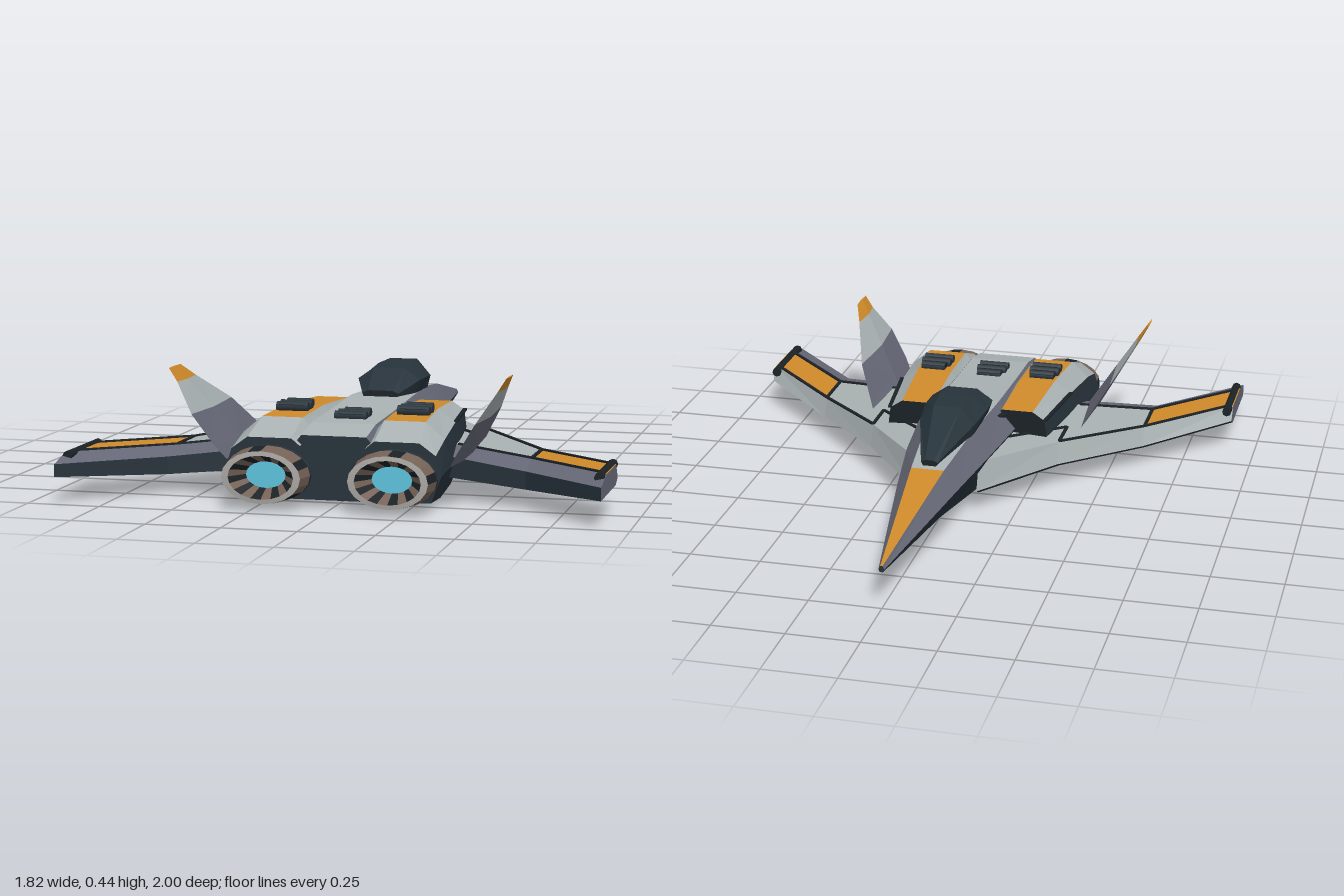
import * as THREE from 'three';

const mat = (name, color) => Object.assign(new THREE.MeshStandardMaterial({ color }), { name });
const M = [
  mat('light grey', 0xa9b1b2), mat('orange', 0xcf8a2a), mat('slate grey', 0x666877),
  mat('navy', 0x27333b), mat('black', 0x1b2226), mat('bronze', 0x776358),
  mat('cyan glow', 0x5fc4de), mat('rim', 0xaaa7a4),
];
const LIGHT = 0, ORANGE = 1, SLATE = 2, NAVY = 3, BLACK = 4, BRONZE = 5, CYAN = 6, RIM = 7;

// Faceted skin through rings of points; color(section, side) picks the material
function loft(name, rings, color, caps) {
  const tris = [];
  const n = rings[0].length;
  for (let j = 0; j < rings.length - 1; j++) {
    for (let i = 0; i < n; i++) {
      const k = (i + 1) % n, a = rings[j][i], b = rings[j][k], c = rings[j + 1][k], d = rings[j + 1][i];
      tris.push([color(j, i), a, b, c], [color(j, i), a, c, d]);
    }
  }
  [rings[0], rings[rings.length - 1]].forEach((r, e) => {
    const mid = [0, 1, 2].map(q => r.reduce((s, p) => s + p[q], 0) / n);
    r.forEach((p, i) => {
      const q = r[(i + 1) % n];
      tris.push(e ? [caps[1], mid, p, q] : [caps[0], mid, q, p]);
    });
  });
  // Turn all faces outward using the enclosed volume
  const v = p => new THREE.Vector3(...p);
  const volume = tris.reduce((s, t) => s + v(t[1]).dot(v(t[2]).cross(v(t[3]))), 0);
  tris.sort((a, b) => a[0] - b[0]);
  const g = new THREE.BufferGeometry(), pos = [];
  tris.forEach(([m, a, b, c], i) => {
    pos.push(...a, ...(volume < 0 ? [...c, ...b] : [...b, ...c]));
    g.addGroup(i * 3, 3, m);
  });
  g.setAttribute('position', new THREE.Float32BufferAttribute(pos, 3));
  g.computeVertexNormals();
  // Join neighbouring groups of the same material
  g.groups = g.groups.reduce((out, q) => {
    const last = out[out.length - 1];
    if (last && last.materialIndex === q.materialIndex) last.count += q.count;
    else out.push({ ...q });
    return out;
  }, []);
  const mesh = new THREE.Mesh(g, M);
  mesh.name = name;
  return mesh;
}

function box(name, m, size, at) {
  const b = new THREE.Mesh(new THREE.BoxGeometry(...size), M[m]);
  b.name = name;
  b.position.set(...at);
  return b;
}

// Thin plate laid between two points
function strip(a, b, width) {
  const p = new THREE.Vector3(...a), q = new THREE.Vector3(...b);
  const s = box('panelLine', BLACK, [width, 0.006, p.distanceTo(q)], p.clone().add(q).multiplyScalar(0.5).toArray());
  s.lookAt(q);
  return s;
}

// Louvred vent: a base with three rounded slats
function vent(x, y, z) {
  const g = new THREE.Group();
  g.name = 'vent';
  g.add(box('ventBase', BLACK, [0.09, 0.03, 0.12], [0, 0, 0]));
  for (let i = 0; i < 3; i++) {
    const s = new THREE.Mesh(new THREE.CylinderGeometry(0.018, 0.018, 0.11 - (i === 0 ? 0.02 : 0), 8), M[NAVY]);
    s.name = 'ventSlat';
    s.rotation.z = Math.PI / 2;
    s.position.set(0, 0.006, -0.045 + i * 0.045);
    g.add(s);
  }
  g.position.set(x, y, z);
  return g;
}

// Six-sided ring from top, middle and bottom half widths and heights
const hex = ([z, tw, yt, w, ym, bw, yb]) =>
  [[-tw, yt, z], [tw, yt, z], [w, ym, z], [bw, yb, z], [-bw, yb, z], [-w, ym, z]];

// Parts that exist on both sides; s is +1 or -1
function addSide(root, s) {
  const side = s > 0 ? 'left' : 'right';
  const flip = rings => rings.map(r => r.map(([x, y, z]) => [s * x, y, z]));

  // Wing: span x, leading z, trailing z, top y, bottom y
  const wing = [
    [0.12, -0.19, 0.60, 0.19, 0.07], [0.35, 0.10, 0.63, 0.175, 0.08],
    [0.615, 0.385, 0.71, 0.15, 0.065], [0.908, 0.655, 0.995, 0.158, 0.09],
  ].map(([x, zl, zt, yt, yb]) => [
    [x, yb + 0.02, zl], [x, yt, zl + 0.035], [x, yt, zt - 0.11], [x, yt - 0.025, zt], [x, yb, zt], [x, yb, zl + 0.04],
  ]);
  root.add(loft(side + 'Wing', flip(wing), (j, i) =>
    [LIGHT, j === 2 ? ORANGE : LIGHT, SLATE, NAVY, NAVY, NAVY][i], [NAVY, SLATE]));

  // Wing panel lines
  const lines = [
    [[0.17, 0.192, 0.1], [0.35, 0.178, 0.28]], [[0.35, 0.178, 0.28], [0.35, 0.178, 0.14]],
    [[0.35, 0.178, 0.135], [0.615, 0.153, 0.42]], [[0.615, 0.153, 0.42], [0.615, 0.153, 0.6]],
    [[0.615, 0.153, 0.6], [0.89, 0.16, 0.86]], [[0.615, 0.153, 0.42], [0.89, 0.16, 0.685]],
    [[0.35, 0.177, 0.52], [0.615, 0.153, 0.6]],
  ];
  lines.forEach(([a, b]) => root.add(strip([s * a[0], a[1], a[2]], [s * b[0], b[1], b[2]], 0.011)));

  // Wingtip rod
  const rod = new THREE.Mesh(new THREE.CylinderGeometry(0.017, 0.017, 0.28, 8), M[BLACK]);
  rod.name = side + 'TipRod';
  rod.rotation.x = Math.PI / 2;
  rod.position.set(s * 0.89, 0.15, 0.78);
  root.add(rod);

  // Canted fin: height, leading z, trailing z, half thickness
  const fin = [
    [0.14, 0.27, 0.79, 0.022], [0.19, 0.32, 0.825, 0.02], [0.295, 0.43, 0.855, 0.014],
    [0.395, 0.62, 0.81, 0.008], [0.44, 0.695, 0.81, 0.004],
  ].map(([y, a, b, t]) => {
    const x = 0.385 + (y - 0.15) * 0.635, m = a + (b - a) * 0.55;
    return [[x, y, a], [x + t, y, m], [x, y, b], [x - t, y, m]];
  });
  root.add(loft(side + 'Fin', flip(fin), j => [SLATE, SLATE, LIGHT, ORANGE][j], [SLATE, ORANGE]));

  // Engine nacelle, eight-sided
  const nacelle = [
    [[0.13, 0.27], [0.245, 0.27], [0.29, 0.24], [0.30, 0.16], [0.28, 0.08], [0.14, 0.06], [0.11, 0.12], [0.11, 0.24], 0.16],
    [[0.135, 0.285], [0.265, 0.285], [0.325, 0.24], [0.345, 0.14], [0.31, 0.03], [0.14, 0.02], [0.09, 0.1], [0.11, 0.25], 0.46],
    [[0.14, 0.275], [0.28, 0.275], [0.345, 0.22], [0.365, 0.13], [0.33, 0.025], [0.14, 0.02], [0.075, 0.1], [0.11, 0.24], 0.705],
    [[0.14, 0.225], [0.29, 0.225], [0.345, 0.185], [0.365, 0.12], [0.33, 0.03], [0.14, 0.025], [0.075, 0.1], [0.11, 0.2], 0.84],
  ].map(r => r.slice(0, 8).map(([x, y]) => [x, y, r[8]]));
  root.add(loft(side + 'Nacelle', flip(nacelle), (j, i) =>
    [j < 2 ? ORANGE : LIGHT, LIGHT, NAVY, NAVY, NAVY, NAVY, NAVY, LIGHT][i], [BLACK, NAVY]));
  root.add(strip([s * 0.292, 0.242, 0.16], [s * 0.327, 0.243, 0.46], 0.014));

  // Oval nozzle with petals and a glowing core
  const nozzle = [[0.82, 0.98], [0.855, 1.08], [0.875, 1.08], [0.95, 0.99], [0.952, 0.82], [0.89, 0.5]].map(([z, r]) =>
    Array.from({ length: 20 }, (_, i) => {
      const a = i / 20 * Math.PI * 2;
      return [0.212 + Math.cos(a) * r * 0.135, 0.11 + Math.sin(a) * r * 0.088, z];
    }));
  root.add(loft(side + 'Nozzle', flip(nozzle), (j, i) =>
    j < 2 ? NAVY : j === 3 ? RIM : (j === 4 ? i % 2 : i % 4 === 0) ? BLACK : BRONZE, [NAVY, CYAN]));

  root.add(vent(s * 0.21, 0.285, 0.535));
  // Small cooling slot beside the cockpit
  root.add(strip([s * 0.135, 0.258, 0.12], [s * 0.15, 0.25, 0.25], 0.03));
}

export function createModel() {
  const root = new THREE.Group();
  root.name = 'starfighter';

  // Fuselage with orange nose and dark belly
  const hull = [
    [-1, 0.004, 0.152, 0.01, 0.14, 0.005, 0.13], [-0.41, 0.058, 0.252, 0.108, 0.185, 0.045, 0.077],
    [-0.12, 0.085, 0.28, 0.152, 0.2, 0.08, 0.047], [0.2, 0.11, 0.285, 0.185, 0.2, 0.13, 0.024],
    [0.5, 0.11, 0.268, 0.2, 0.17, 0.17, 0.0], [0.7, 0.11, 0.26, 0.2, 0.15, 0.165, 0.012],
    [0.825, 0.11, 0.235, 0.18, 0.15, 0.15, 0.022],
  ].map(hex);
  root.add(loft('fuselage', hull, (j, i) =>
    [j === 0 ? ORANGE : LIGHT, SLATE, NAVY, NAVY, NAVY, SLATE][i], [NAVY, NAVY]));

  // Faceted canopy
  const canopy = [
    [-0.385, 0.015, 0.275, 0.03, 0.268, 0.02, 0.25], [-0.13, 0.05, 0.378, 0.1, 0.32, 0.085, 0.26],
    [0.0, 0.06, 0.376, 0.115, 0.33, 0.09, 0.265], [0.09, 0.055, 0.37, 0.112, 0.33, 0.09, 0.265],
    [0.215, 0.045, 0.305, 0.065, 0.295, 0.055, 0.265],
  ].map(hex);
  root.add(loft('canopy', canopy, () => NAVY, [BLACK, BLACK]));

  root.add(vent(0, 0.264, 0.56));
  addSide(root, 1);
  addSide(root, -1);
  return root;
}
